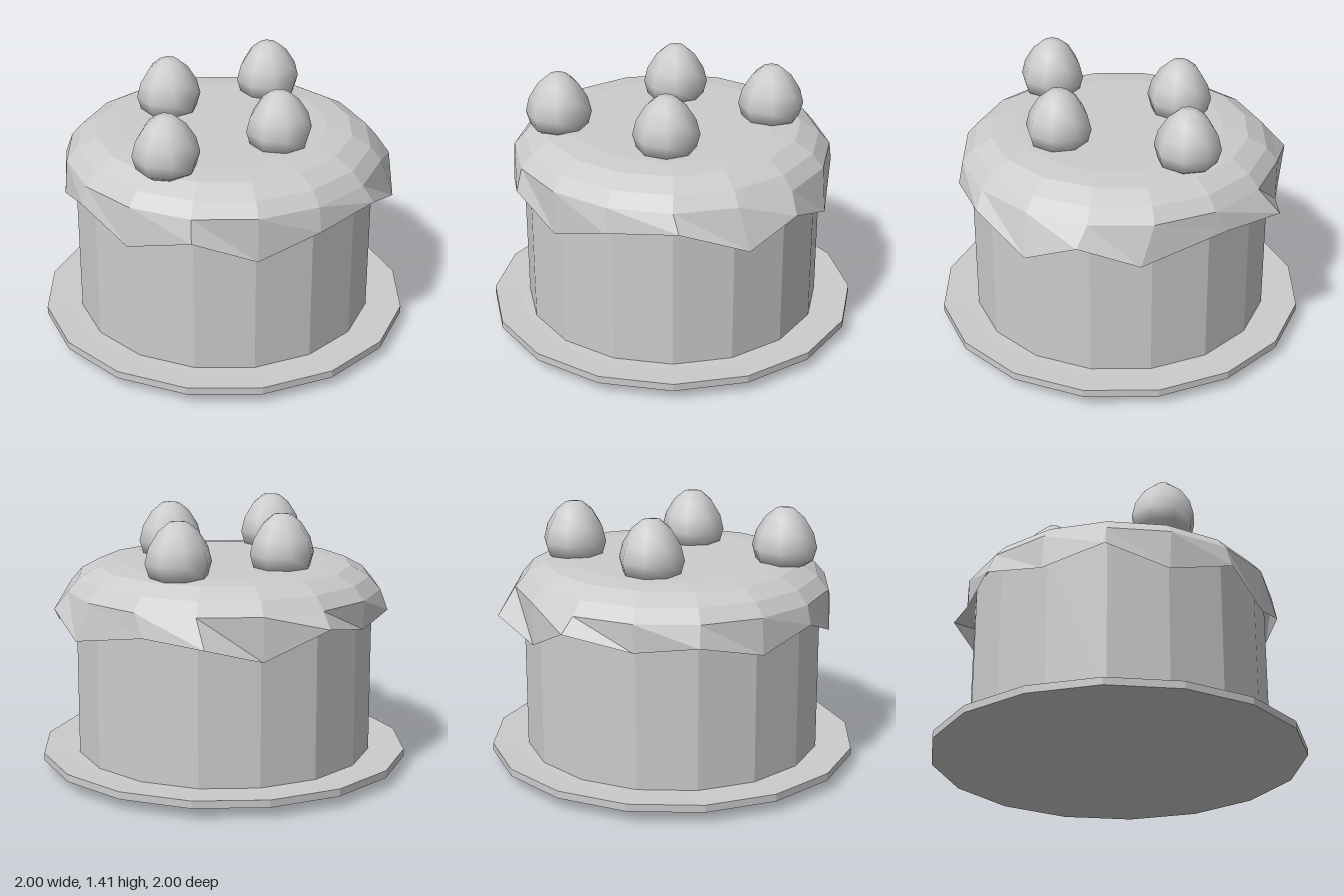
import * as THREE from 'three';

const SIDES = 16;
const flat = new THREE.MeshStandardMaterial({ color: 0xcccccc, flatShading: true, side: THREE.DoubleSide });
const smooth = new THREE.MeshStandardMaterial({ color: 0xcccccc });

// Solid of revolution from [radius, height] pairs, listed bottom to top
function turned(name, profile, sides, material) {
  const points = profile.map(([r, y]) => new THREE.Vector2(r, y));
  const mesh = new THREE.Mesh(new THREE.LatheGeometry(points, sides), material);
  mesh.name = name;
  return mesh;
}

// Icing cap: round shoulder rings above an uneven dripping hem, open underneath
function icing() {
  const hem = [ // x, y, z, counted from the front towards +x
    [0, 0.75, 0.85], [0.33, 0.86, 0.81], [0.66, 0.9, 0.62], [0.86, 0.77, 0.32],
    [0.92, 0.89, 0.04], [0.85, 0.78, -0.27], [0.57, 0.87, -0.66], [0.31, 0.85, -0.9],
    [0, 0.76, -0.85], [-0.34, 0.91, -0.86], [-0.6, 0.84, -0.6], [-0.82, 0.88, -0.35],
    [-0.865, 0.8, 0], [-0.81, 0.89, 0.33], [-0.62, 0.77, 0.6], [-0.33, 0.87, 0.82],
  ];
  const shoulder = [[0.85, 0.99], [0.79, 1.06], [0.69, 1.115], [0.555, 1.13], [0, 1.13]];
  const positions = hem.flat();
  for (const [r, y] of shoulder) {
    for (let i = 0; i < SIDES; i++) {
      const a = (i / SIDES) * Math.PI * 2;
      positions.push(r * Math.sin(a), y, r * Math.cos(a));
    }
  }
  const index = [];
  for (let ring = 0; ring < shoulder.length; ring++) {
    for (let i = 0; i < SIDES; i++) {
      const a = ring * SIDES + i, b = ring * SIDES + (i + 1) % SIDES;
      const c = a + SIDES, d = b + SIDES;
      index.push(a, b, c);
      if (ring < shoulder.length - 1) index.push(b, d, c);
    }
  }
  const geometry = new THREE.BufferGeometry();
  geometry.setAttribute('position', new THREE.Float32BufferAttribute(positions, 3));
  geometry.setIndex(index);
  geometry.computeVertexNormals();
  const mesh = new THREE.Mesh(geometry, flat);
  mesh.name = 'icing';
  return mesh;
}

export function createModel() {
  const group = new THREE.Group();
  group.name = 'cake';

  // Plate with a shallow tapered foot
  group.add(turned('plate',
    [[0, 0], [0.45, 0], [0.85, 0.06], [1, 0.06], [1, 0.1], [0.86, 0.095], [0, 0.095]], SIDES, flat));

  // Sponge
  group.add(turned('sponge', [[0.805, 0.09], [0.805, 0.98], [0, 0.98]], SIDES, flat));

  group.add(icing());

  // Berries on top
  const berry = [[0, 1.075], [0.09, 1.085], [0.155, 1.13], [0.175, 1.2], [0.155, 1.28],
    [0.105, 1.36], [0.05, 1.405], [0, 1.412]];
  for (const [x, z] of [[-0.39, 0.46], [-0.25, -0.28], [0.335, -0.415], [0.235, 0.28]]) {
    const mesh = turned('berry', berry, 8, smooth);
    mesh.position.set(x, 0, z);
    group.add(mesh);
  }
  return group;
}
